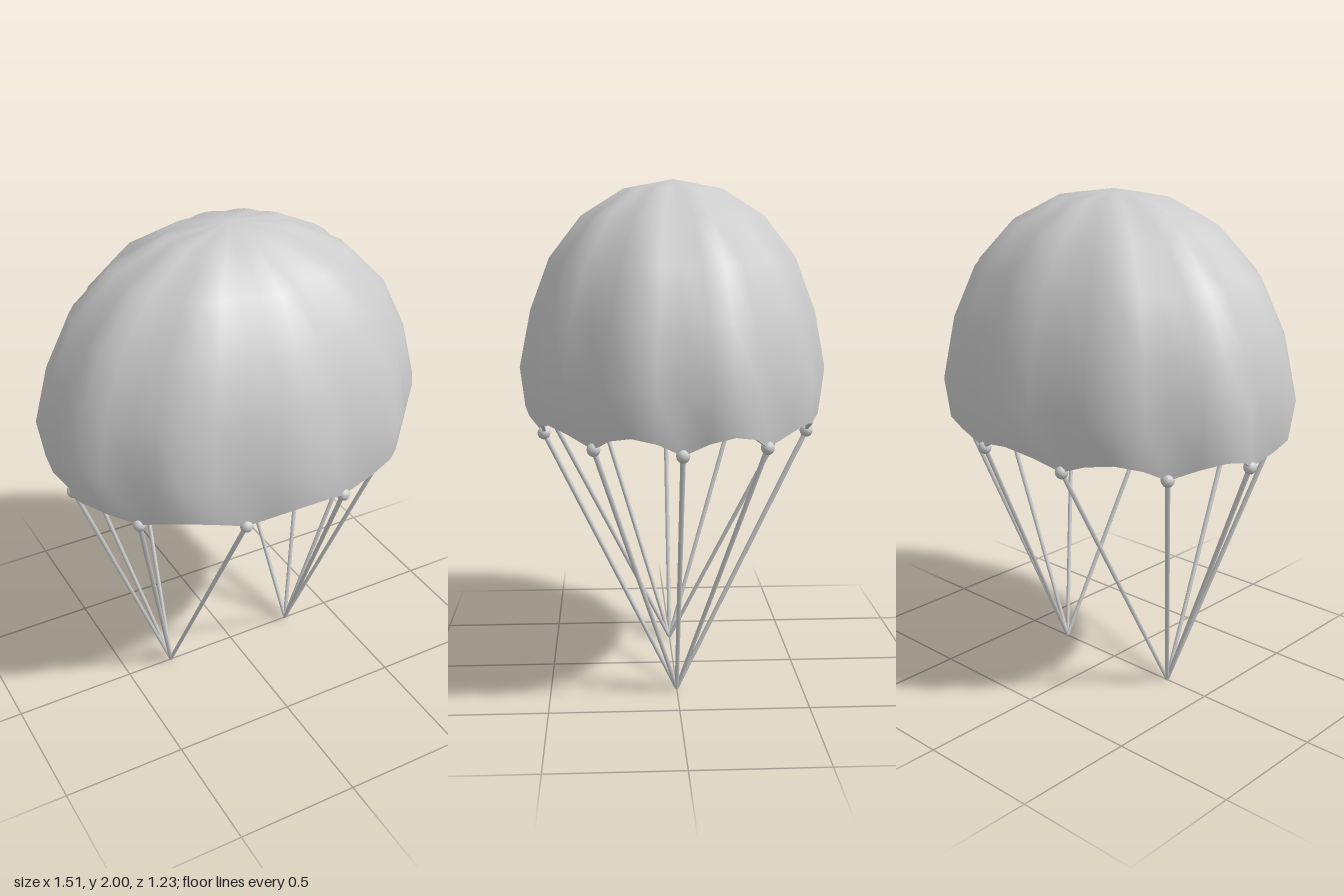
import * as THREE from 'three';

const GORES = 10, STEPS = 4, AROUND = GORES * STEPS;
const CENTRE_Y = 1.26, HEIGHT = 0.74, HALF_X = 0.725, HALF_Z = 0.57;
// outward puff of each gore's middle, ring by ring from the crown to the hem
const PUFF = [0, 0.11, 0.085, 0.065, 0.05, 0.08, 0.1];
const RINGS = PUFF.length - 1;
const THICKNESS = 0.014;

// Point on the canopy: ring 0 is the crown, the last ring is the scalloped hem
function canopyPoint(ring, step, inset) {
  const down = ring * Math.PI / 10;
  const around = (step / AROUND) * Math.PI * 2;
  const bulge = Math.sin(Math.PI * (step % STEPS) / STEPS);
  const r = Math.sin(down) * (1 + PUFF[ring] * bulge);
  const lift = ring === RINGS ? 0.07 * bulge : 0;
  return [
    (HALF_X - inset) * r * Math.cos(around),
    CENTRE_Y + (HEIGHT - (ring < RINGS ? inset : 0)) * Math.cos(down) + lift,
    (HALF_Z - inset) * r * Math.sin(around),
  ];
}

function geometryFrom(points, index) {
  const g = new THREE.BufferGeometry();
  g.setAttribute('position', new THREE.Float32BufferAttribute(points.flat(), 3));
  g.setIndex(index);
  g.computeVertexNormals();
  return g;
}

// One skin of the canopy, facing outwards or inwards
function skin(inset, inward) {
  const points = [canopyPoint(0, 0, inset)], index = [];
  const at = (ring, step) => ring === 0 ? 0 : 1 + (ring - 1) * AROUND + (step % AROUND);
  const tri = (a, b, c) => inward ? index.push(a, c, b) : index.push(a, b, c);
  for (let i = 1; i <= RINGS; i++) {
    for (let j = 0; j < AROUND; j++) {
      points.push(canopyPoint(i, j, inset));
      if (i > 1) tri(at(i - 1, j), at(i - 1, j + 1), at(i, j));
      tri(at(i - 1, j + 1), at(i, j + 1), at(i, j));
    }
  }
  return geometryFrom(points, index);
}

// Thin strip closing the hem between both skins
function hem() {
  const points = [], index = [];
  for (let j = 0; j < AROUND; j++) {
    points.push(canopyPoint(RINGS, j, 0), canopyPoint(RINGS, j, THICKNESS));
    const a = 2 * j, b = 2 * ((j + 1) % AROUND);
    index.push(a, b, a + 1, b, b + 1, a + 1);
  }
  return geometryFrom(points, index);
}

function addMesh(parent, name, geometry, material) {
  const mesh = new THREE.Mesh(geometry, material);
  mesh.name = name;
  parent.add(mesh);
  return mesh;
}

export function createModel() {
  const model = new THREE.Group();
  model.name = 'parachute';
  const grey = new THREE.MeshStandardMaterial({ color: 0xcccccc });
  grey.name = 'light grey';

  // Canopy
  const canopy = new THREE.Group();
  canopy.name = 'canopy';
  model.add(canopy);
  addMesh(canopy, 'canopyOuter', skin(0, false), grey);
  addMesh(canopy, 'canopyInner', skin(THICKNESS, true), grey);
  addMesh(canopy, 'canopyHem', hem(), grey);

  // A knob and a cord at every seam; each half gathers at its own point
  const knobShape = new THREE.SphereGeometry(0.026, 10, 8);
  const up = new THREE.Vector3(0, 1, 0);
  for (let k = 0; k < GORES; k++) {
    const top = new THREE.Vector3(...canopyPoint(RINGS, k * STEPS, 0.004));
    const foot = new THREE.Vector3(top.x > 0 ? 0.287 : -0.3, 0.004, 0);
    addMesh(model, 'seamKnob', knobShape, grey).position.copy(top);

    const along = top.clone().sub(foot);
    const cord = addMesh(model, 'cord',
      new THREE.CylinderGeometry(0.01, 0.008, along.length(), 6), grey);
    cord.position.copy(foot).addScaledVector(along, 0.5);
    cord.quaternion.setFromUnitVectors(up, along.normalize());
  }
  return model;
}
